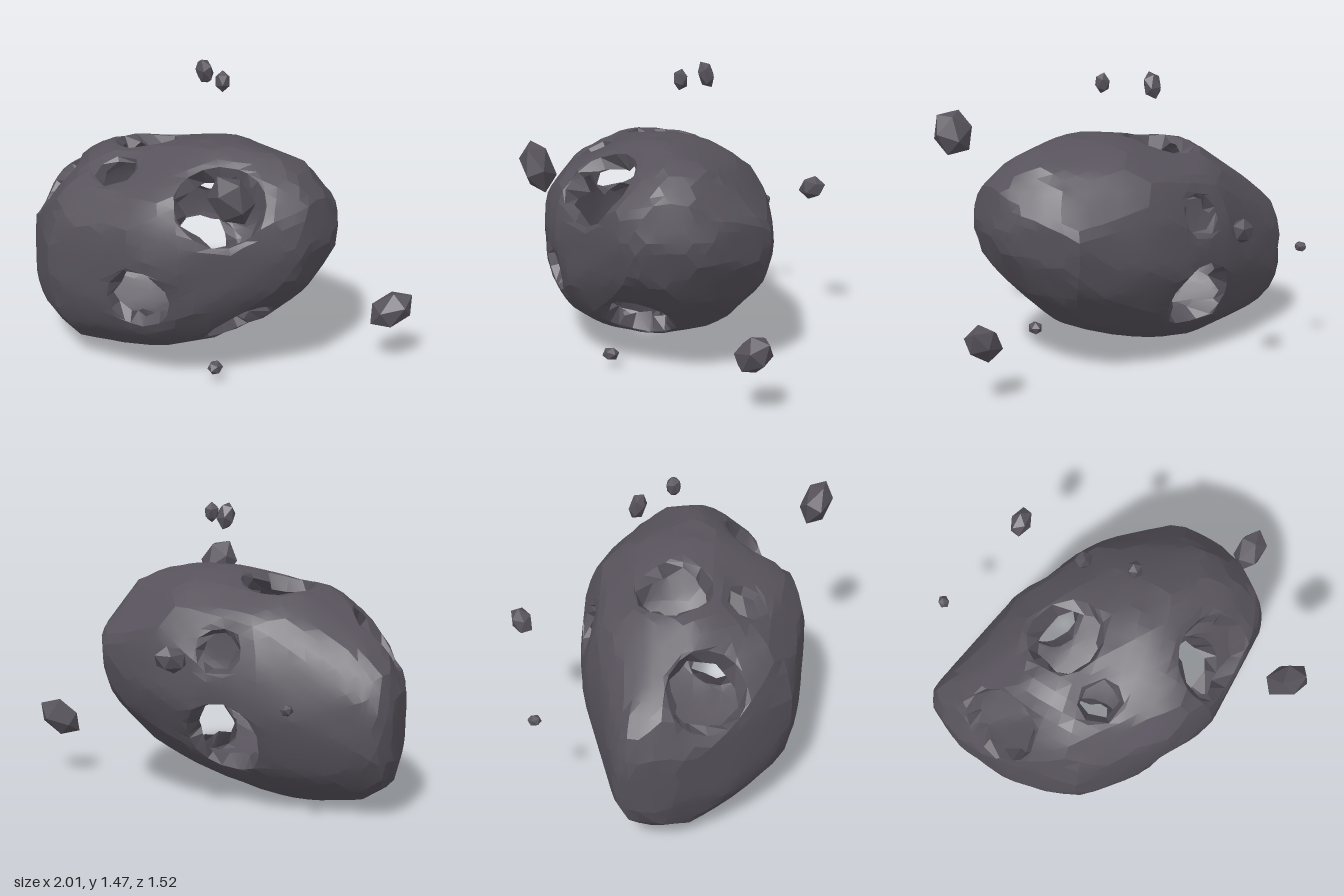
import * as THREE from 'three';
import { toCreasedNormals } from 'three/addons/utils/BufferGeometryUtils.js';

// Body cross-sections along x: [x, top y, bottom y, back z, front z]
const SECTIONS = [
  [-1.0, 0.6, 0.25, -0.09, 0.08],
  [-0.96, 0.7, 0.18, -0.11, 0.19],
  [-0.8, 0.86, 0.06, -0.18, 0.43],
  [-0.6, 0.99, 0.02, -0.28, 0.6],
  [-0.45, 1.09, 0.0, -0.36, 0.69],
  [-0.2, 1.11, 0.03, -0.42, 0.7],
  [0.07, 1.16, 0.1, -0.46, 0.69],
  [0.3, 1.13, 0.19, -0.44, 0.6],
  [0.47, 1.1, 0.34, -0.41, 0.46],
  [0.6, 1.02, 0.47, -0.25, 0.35],
  [0.71, 0.91, 0.63, -0.08, 0.24],
];
// Open craters: [x, y, z, radius]
const CRATERS = [
  [0.37, 0.92, 0.35, 0.22],
  [0.06, 0.48, 0.68, 0.165],
  [-0.245, 0.97, 0.4, 0.115],
  [-0.295, 1.08, 0.075, 0.195],
  [-0.26, 0.77, -0.36, 0.12],
  [-0.27, 0.35, -0.33, 0.2],
  [0.355, 0.235, 0.24, 0.195],
  [-0.74, 0.83, 0.32, 0.2],
  [-0.29, 0.05, 0.28, 0.2],
  [-0.54, 0.13, 0.52, 0.115],
];
// Loose rocks: [x, y, z, half width, half height, half depth, long axis x, y, z]
const ROCKS = [
  [0.6, 1.11, 0.67, 0.105, 0.11, 0.085, 0, 1, 0.4],
  [0.91, 0.305, -0.295, 0.088, 0.092, 0.088, 1, 1, -1],
  [-0.115, 1.405, -0.13, 0.045, 0.065, 0.04, 0, 1, 0.4],
  [0.09, 1.415, 0.005, 0.036, 0.052, 0.032, 0, 1, 0],
  [-0.26, 0.775, -0.7, 0.064, 0.064, 0.064, 1, 0.3, -1],
  [-0.775, 0.575, -0.505, 0.027, 0.027, 0.032, 0, 0, 1],
  [0.3, 0.075, 0.36, 0.031, 0.034, 0.042, 0, 0, 1],
];
const CORE = new THREE.Vector3(-0.14, 0.58, 0.13);

function seeded(seed) {
  return () => {
    seed = (seed * 16807) % 2147483647;
    return seed / 2147483647;
  };
}

// Centre and half sizes of the body at x
function sectionAt(x) {
  let i = 0;
  while (i < SECTIONS.length - 2 && x > SECTIONS[i + 1][0]) i++;
  const a = SECTIONS[i], b = SECTIONS[i + 1];
  const t = THREE.MathUtils.clamp((x - a[0]) / (b[0] - a[0]), 0, 1);
  const [top, bottom, back, front] = [1, 2, 3, 4].map((k) => a[k] + (b[k] - a[k]) * t);
  return { cy: (top + bottom) / 2, hy: (top - bottom) / 2, cz: (front + back) / 2, hz: (front - back) / 2 };
}

// How far each quarter of a cross-section swells beyond an ellipse
function shoulder(x, v, w) {
  const vw = v * v * w * w;
  if (v < 0) return w < 0 ? 1 : 1 + 0.16 * vw;
  if (w > 0) return 1 + 0.3 * vw * (w * w - v * v);
  return 1 + vw * (0.14 - 0.5 * THREE.MathUtils.smoothstep(x, 0.1, 0.45));
}

// Unit direction to the smooth body
function smoothSurface(d) {
  const x = -0.145 + 0.855 * d.x;
  const s = Math.hypot(d.y, d.z) || 1e-6;
  const v = d.y / s, w = d.z / s;
  const k = Math.min(1, s / 0.28) * shoulder(x, v, w);
  const q = sectionAt(x);
  return new THREE.Vector3(x, q.cy + q.hy * k * v, q.cz + q.hz * k * w);
}

function tangents(d) {
  const helper = Math.abs(d.y) > 0.8 ? new THREE.Vector3(1, 0, 0) : new THREE.Vector3(0, 1, 0);
  const e1 = helper.cross(d).normalize();
  return [e1, d.clone().cross(e1)];
}

// Tangent planes that chisel the body into broad facets
function facetPlanes(random) {
  const planes = [], count = 110;
  for (let i = 0; i < count; i++) {
    const x = 1 - (2 * i + 1) / count, a = i * 2.39996 + random() * 0.5;
    const s = Math.sqrt(1 - x * x);
    const d = new THREE.Vector3(x, s * Math.cos(a), s * Math.sin(a));
    const p = smoothSurface(d);
    const [t1, t2] = tangents(d).map((e) => smoothSurface(d.clone().addScaledVector(e, 0.12).normalize())
      .sub(smoothSurface(d.clone().addScaledVector(e, -0.12).normalize())));
    const n = t1.cross(t2).normalize();
    planes.push({ n, h: n.dot(p.sub(CORE)) });
  }
  return planes;
}
const PLANES = facetPlanes(seeded(91));

function surface(d) {
  const q = smoothSurface(d).sub(CORE);
  let t = 1.02;
  for (const { n, h } of PLANES) {
    const along = n.dot(q);
    if (along > 0) t = Math.min(t, h / along);
  }
  return q.multiplyScalar(Math.max(t, 0.985) * 0.997).add(CORE);
}

function makeCrater([x, y, z, r]) {
  const q = sectionAt(x), u = (x + 0.145) / 0.855;
  const v = (y - q.cy) / q.hy, w = (z - q.cz) / q.hz;
  const s = Math.sqrt(1 - u * u) / Math.hypot(v, w);
  const dir = new THREE.Vector3(u, v * s, w * s);
  const [e1, e2] = tangents(dir);
  return { r, dir, e1, e2, centre: surface(dir), angles: new Map() };
}

// Point on the crater rim at an angle, found by bisection
function rimPoint(c, angle) {
  let lo = 0, hi = 1.5, p;
  for (let i = 0; i < 22; i++) {
    const t = (lo + hi) / 2;
    p = surface(c.dir.clone().addScaledVector(c.e1, t * Math.cos(angle))
      .addScaledVector(c.e2, t * Math.sin(angle)).normalize());
    if (p.distanceTo(c.centre) < c.r) lo = t; else hi = t;
  }
  return p.lerp(CORE, 0.015);
}

function creased(points, angle) {
  const g = new THREE.BufferGeometry().setFromPoints(points);
  return toCreasedNormals(g, angle);
}

// Hollow shell with the craters cut out, vertices drawn to the rims
function shellGeometry(craters) {
  const pos = new THREE.IcosahedronGeometry(1, 10).attributes.position;
  const out = [];
  for (let i = 0; i < pos.count; i += 3) {
    const corners = [0, 1, 2].map((k) => {
      const d = new THREE.Vector3().fromBufferAttribute(pos, i + k).normalize();
      const p = surface(d);
      return { d, p, c: craters.find((c) => p.distanceTo(c.centre) < c.r) };
    });
    if (corners[0].c && corners.every((k) => k.c === corners[0].c)) continue;
    for (const { d, p, c } of corners) {
      if (!c) { out.push(p); continue; }
      const angle = Math.atan2(d.dot(c.e2), d.dot(c.e1));
      const key = Math.round(angle * 1000);
      if (!c.angles.has(key)) c.angles.set(key, { angle, p: rimPoint(c, angle) });
      out.push(c.angles.get(key).p);
    }
  }
  return creased(out, 0.2);
}

// Ragged wall running inward from the rim
function wallGeometry(c, random) {
  const rim = [...c.angles.values()].sort((a, b) => a.angle - b.angle).map((k) => k.p);
  const mid = rim.reduce((m, p) => m.addScaledVector(p, 1 / rim.length), new THREE.Vector3());
  const normal = new THREE.Vector3();
  rim.forEach((p, i) => {
    const next = rim[(i + 1) % rim.length];
    normal.add(p.clone().sub(mid).cross(next.clone().sub(mid)));
  });
  normal.normalize();
  const inner = rim.map((p) => p.clone().lerp(mid, 0.05 + 0.25 * random())
    .addScaledVector(normal, -c.r * (0.1 + 0.4 * random())));
  const out = [];
  rim.forEach((p, i) => {
    const j = (i + 1) % rim.length;
    out.push(p, rim[j], inner[i], rim[j], inner[j], inner[i]);
  });
  return creased(out, 0.3);
}

// Angular rock stretched along an axis and fitted to its half sizes
function rockGeometry(size, axis, random) {
  const g = new THREE.IcosahedronGeometry(1, 0);
  g.rotateX(random() * 3).rotateY(random() * 3).scale(0.8, 0.8, 1.2);
  g.applyQuaternion(new THREE.Quaternion().setFromUnitVectors(
    new THREE.Vector3(0, 0, 1), new THREE.Vector3(...axis).normalize()));
  g.center();
  g.computeBoundingBox();
  const b = g.boundingBox;
  g.scale(size[0] / b.max.x, size[1] / b.max.y, size[2] / b.max.z);
  g.computeVertexNormals();
  return g;
}

export function createModel() {
  const model = new THREE.Group();
  model.name = 'asteroid';
  const stone = new THREE.MeshStandardMaterial({ color: 0x57525b, side: THREE.DoubleSide });
  stone.name = 'dark stone';
  const random = seeded(4217);
  const add = (geometry, name) => {
    const mesh = new THREE.Mesh(geometry, stone);
    mesh.name = name;
    model.add(mesh);
    return mesh;
  };

  // Body and crater walls
  const craters = CRATERS.map(makeCrater);
  add(shellGeometry(craters), 'bodyShell');
  craters.forEach((c, i) => add(wallGeometry(c, random), `craterWall${i + 1}`));

  // Drifting fragments
  ROCKS.forEach(([x, y, z, w, h, d, ...axis], i) => {
    add(rockGeometry([w, h, d], axis, random), `looseRock${i + 1}`).position.set(x, y, z);
  });
  return model;
}
